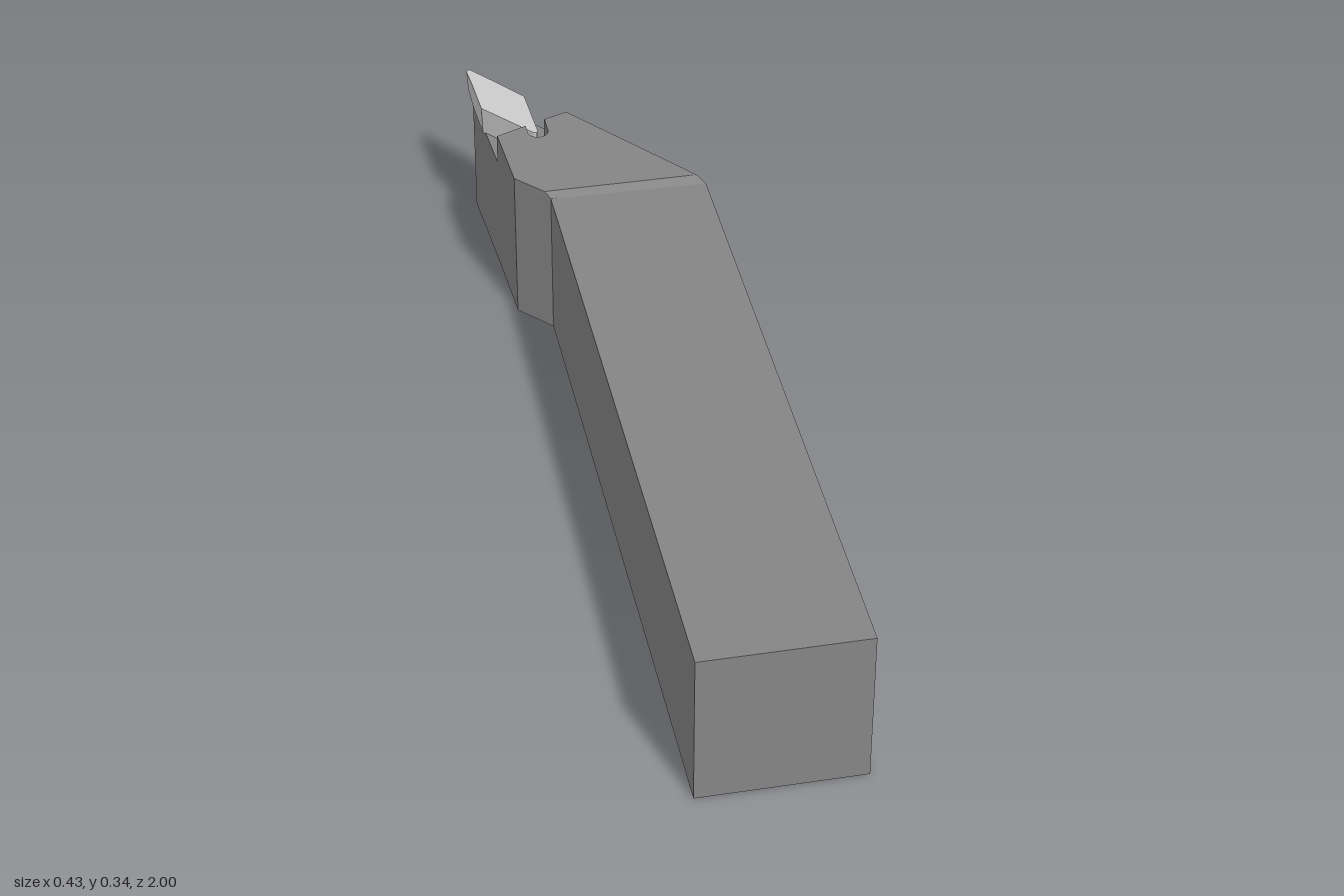
import * as THREE from 'three';

const steel = new THREE.MeshStandardMaterial({ color: 0x858585, flatShading: true });
const carbide = new THREE.MeshStandardMaterial({ color: 0xc4c4c4, flatShading: true });

// Outlines are [x, z] loops, counter-clockwise seen from above;
// an optional third number gives a corner its own height.
const corner = ([x, z, own], y) => [x, own ?? y, z];

// Side faces between two matching outlines at two heights
function walls(out, lower, y0, upper, y1) {
  lower.forEach((a, i) => {
    const j = (i + 1) % lower.length;
    const A = corner(a, y0), B = corner(lower[j], y0);
    const C = corner(upper[j], y1), D = corner(upper[i], y1);
    out.push(...A, ...B, ...C, ...A, ...C, ...D);
  });
}

// Face filling an outline
function cap(out, outline, y, up = true) {
  const pts = outline.map(([x, z]) => new THREE.Vector2(x, -z));
  for (const [a, b, c] of THREE.ShapeUtils.triangulateShape(pts, [])) {
    for (const k of up ? [a, b, c] : [a, c, b]) out.push(...corner(outline[k], y));
  }
}

function toMesh(name, positions, material) {
  const geometry = new THREE.BufferGeometry();
  geometry.setAttribute('position', new THREE.Float32BufferAttribute(positions, 3));
  geometry.computeVertexNormals();
  const mesh = new THREE.Mesh(geometry, material);
  mesh.name = name;
  return mesh;
}

export function createModel() {
  const group = new THREE.Group();
  group.name = 'turningTool';
  const FLOOR = 0.27, SHANK = 0.33, HEAD = 0.341;

  const shankEnd = [[-0.116, 1], [0.213, 1]];
  const shoulderR = [0.213, -0.46], shoulderL = [-0.116, -0.467], elbow = [-0.181, -0.54];
  const nose = [[-0.189, -0.973], [-0.2, -0.974], [-0.205, -0.96]];

  // Pocket wall from right to left, with a round relief for the insert corner
  const relief = [];
  for (let i = 0; i <= 8; i++) {
    const t = (i / 8) * Math.PI;
    relief.push([-0.102 + 0.022 * Math.cos(t), -0.708 + 0.022 * Math.sin(t)]);
  }
  const wall = [[-0.035, -0.78], [-0.08, -0.761], ...relief, [-0.124, -0.743], [-0.19, -0.715]];
  const n = wall.length;
  const wallR = wall[0], wallL = wall[n - 1];

  // Holder: lower body, pocket floor, upper body
  const body = [];
  const lower = [...shankEnd, shoulderR, wallR, ...nose, wallL, elbow, shoulderL];
  cap(body, lower, 0, false);
  walls(body, lower, 0, lower, FLOOR);
  cap(body, [wallR, ...nose, wallL, ...wall.slice(1, -1).reverse()], FLOOR);
  const upper = [...shankEnd, shoulderR, ...wall, elbow, shoulderL];
  walls(body, upper, FLOOR, upper, SHANK);
  cap(body, [...shankEnd, shoulderR, shoulderL], SHANK);
  group.add(toMesh('holder', body, steel));

  // Raised head top, chamfered toward the shank and the pocket
  const head = [];
  const headBase = [shoulderL, shoulderR, ...wall, elbow];
  const rim = wall.map(([x, z], i) => [i === 0 ? x + 0.006 : x, i < 2 || i > n - 3 ? z + 0.008 : z]);
  const headTop = [[-0.127, -0.48], [0.197, -0.48], ...rim, elbow];
  walls(head, headBase, SHANK, headTop, HEAD);
  cap(head, headTop, HEAD);
  group.add(toMesh('headTop', head, steel));

  // Rhombic cutting insert, narrowing downward, its underside rising at the nose
  const rhombus = [[-0.105, -0.868], [-0.159, -0.94], [-0.202, -0.995], [-0.208, -1], [-0.213, -0.99],
    [-0.209, -0.94], [-0.204, -0.838], [-0.109, -0.722], [-0.102, -0.72], [-0.099, -0.728]];
  const underside = rhombus.map(([x, z], i) => [
    -0.155 + (x + 0.155) * 0.96, -0.858 + (z + 0.858) * 0.98, i > 1 && i < 5 ? 0.285 : 0.267]);
  const insert = [];
  cap(insert, underside.slice(1, 6), 0, false);
  cap(insert, [...underside.slice(0, 2), ...underside.slice(5)], 0, false);
  walls(insert, underside, 0, rhombus, SHANK);
  cap(insert, rhombus, SHANK);
  group.add(toMesh('cuttingInsert', insert, carbide));

  return group;
}
